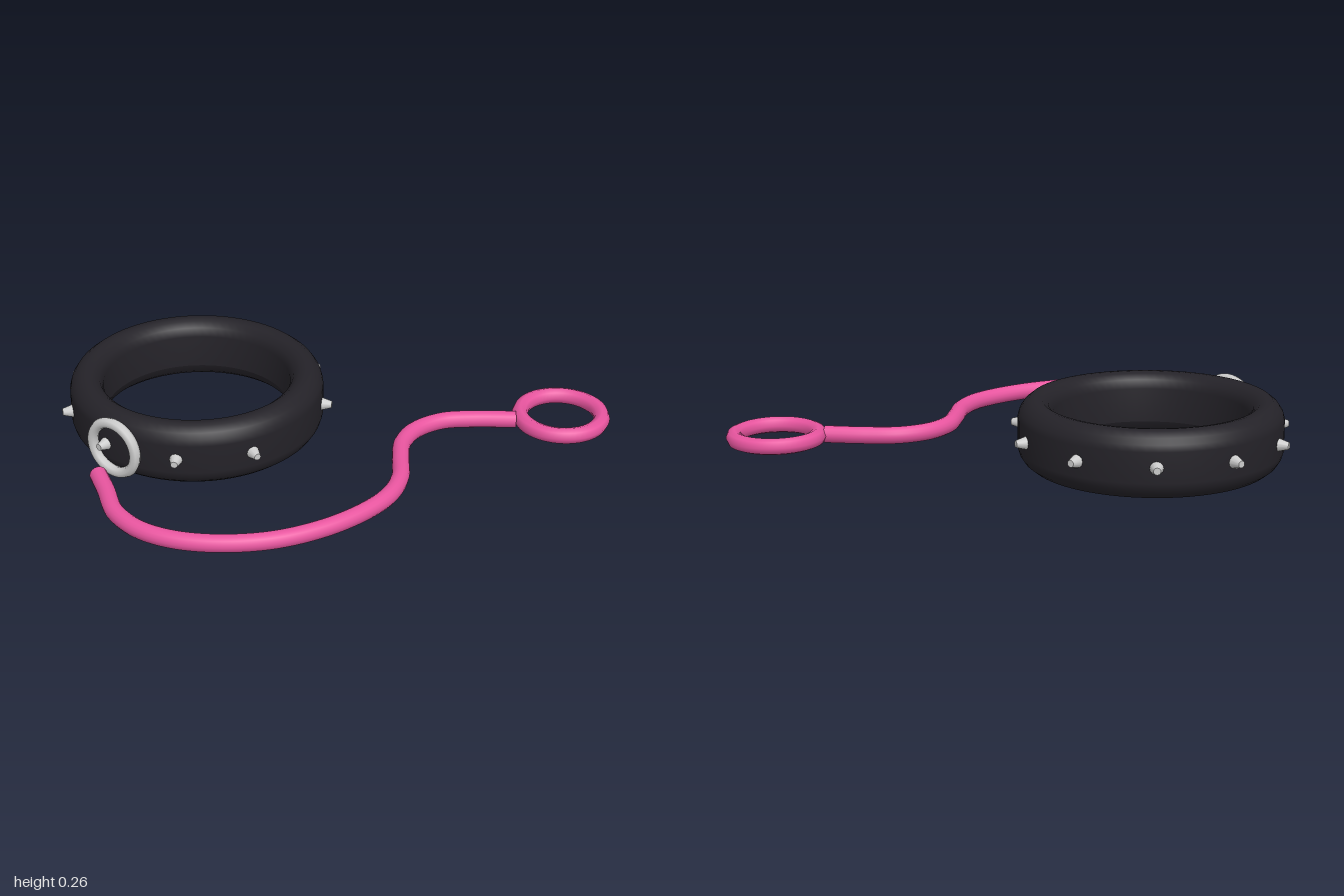
import * as THREE from 'three';

const material = (color) => new THREE.MeshStandardMaterial({ color });

function addMesh(parent, name, geometry, mat, x = 0, y = 0, z = 0) {
  const mesh = new THREE.Mesh(geometry, mat);
  mesh.name = name;
  mesh.position.set(x, y, z);
  parent.add(mesh);
  return mesh;
}

export function createModel() {
  const model = new THREE.Group();
  model.name = 'collarAndLeash';
  const black = material(0x242228);
  const pink = material(0xe8559f);
  const metal = material(0xcccccc);

  // Collar: thick band with rounded edges, centred on its own group
  const collar = new THREE.Group();
  collar.name = 'collar';
  collar.position.set(-0.46, 0.135, 0.08);
  model.add(collar);
  const half = [
    [0.385, 0.07], [0.4, 0.105], [0.425, 0.125], [0.45, 0.13],
    [0.475, 0.128], [0.5, 0.108], [0.515, 0.085], [0.522, 0.06],
  ];
  // Counter-clockwise section: outer side upward, then inner side downward
  const section = [
    ...half.map(([r, y]) => new THREE.Vector2(r, -y)),
    ...[...half].reverse().map(([r, y]) => new THREE.Vector2(r, y)),
  ];
  section.push(section[0].clone());
  addMesh(collar, 'band', new THREE.LatheGeometry(section, 72), black);

  // Studs: blunt cones pointing outward, mirrored front to back
  const studShape = new THREE.CylinderGeometry(0.014, 0.03, 0.055, 12);
  studShape.rotateZ(-Math.PI / 2).translate(0.535, 0, 0);
  for (const degrees of [27, 61, 95.5, 129.5, 163.5]) {
    for (const side of [-1, 1]) {
      const stud = addMesh(collar, 'stud', studShape, metal);
      stud.rotation.y = side * THREE.MathUtils.degToRad(degrees);
    }
  }

  // Upright ring on the front of the collar
  addMesh(model, 'frontRing', new THREE.TorusGeometry(0.108, 0.022, 8, 48), metal, -0.463, 0.135, 0.607);

  // Leash: tube lying flat along a winding curve
  const leash = new THREE.Group();
  leash.name = 'leash';
  leash.position.y = 0.065;
  model.add(leash);
  const path = new THREE.CatmullRomCurve3([
    [-0.46, 0.71], [-0.36, 0.78], [-0.23, 0.877], [-0.09, 0.915], [0.06, 0.895],
    [0.22, 0.815], [0.37, 0.68], [0.48, 0.5], [0.54, 0.31], [0.55, 0.17],
    [0.515, 0.04], [0.44, -0.08], [0.38, -0.19], [0.37, -0.31], [0.42, -0.43],
    [0.52, -0.52], [0.66, -0.615],
  ].map(([x, z]) => new THREE.Vector3(x, 0, z)));
  const radius = 0.035;
  addMesh(leash, 'cord', new THREE.TubeGeometry(path, 140, radius, 16), pink);

  // Flat caps closing both cord ends
  for (const t of [0, 1]) {
    const point = path.getPoint(t);
    const outward = path.getTangent(t).multiplyScalar(t ? 1 : -1);
    const cap = addMesh(leash, 'cordEnd', new THREE.CircleGeometry(radius, 16), pink, point.x, 0, point.z);
    cap.quaternion.setFromUnitVectors(new THREE.Vector3(0, 0, 1), outward);
  }

  // Hand loop at the far end
  const loop = new THREE.TorusGeometry(0.168, 0.034, 8, 56).rotateX(Math.PI / 2);
  addMesh(leash, 'handLoop', loop, pink, 0.795, 0, -0.755);

  return model;
}
